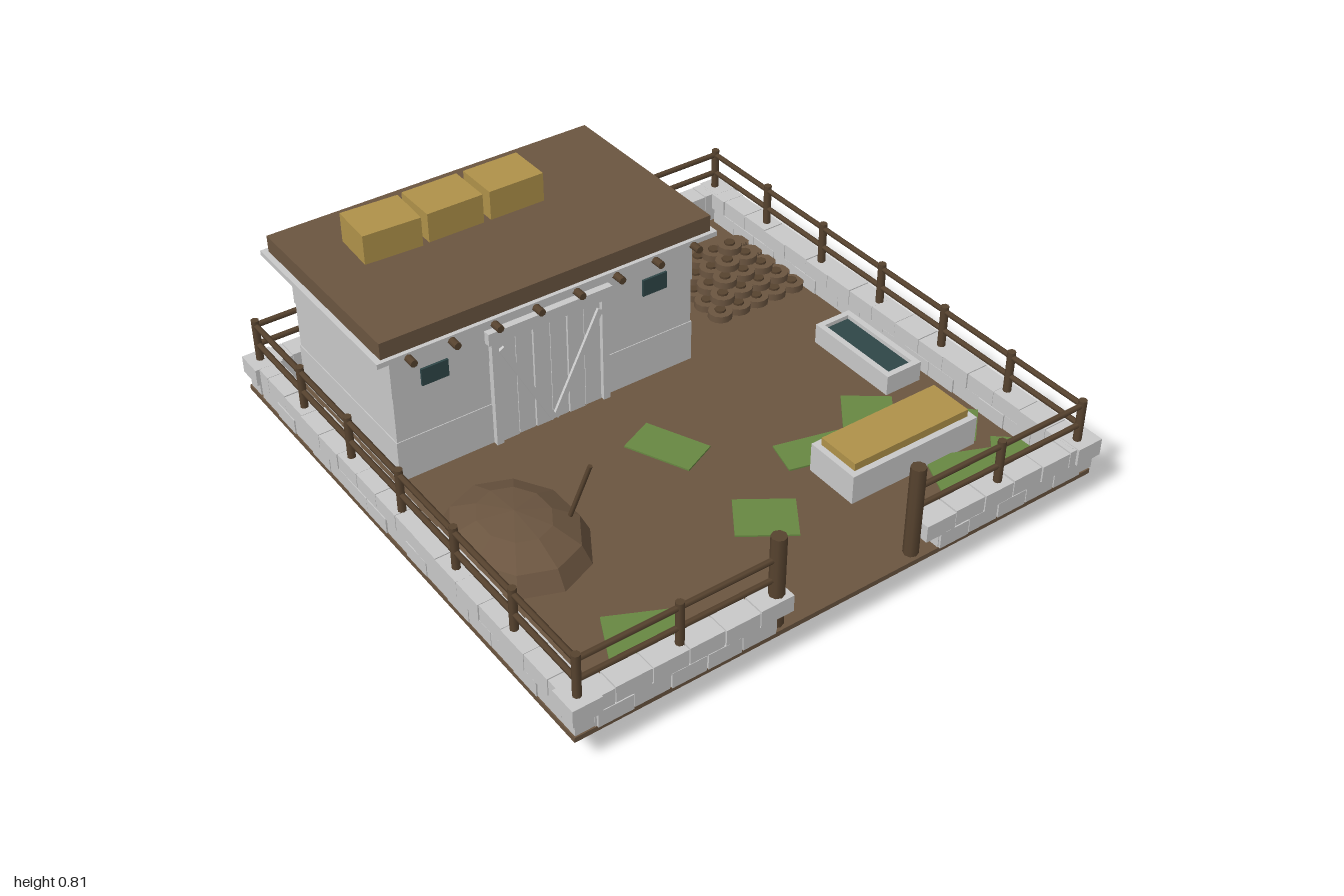
import * as THREE from 'three';

export function createModel() {
  const root = new THREE.Group();
  const mat = (name, color) => {
    const m = new THREE.MeshStandardMaterial({ color });
    m.name = name;
    return m;
  };
  const stone = mat('pale stone', 0xc9c9c9);
  const earth = mat('earth brown', 0x6b5540);
  const wood = mat('dark wood', 0x57432f);
  const hay = mat('hay', 0xb0924a);
  const glass = mat('dark teal', 0x2f4648);
  const grass = mat('grass green', 0x688842);

  let seed = 7;
  const rand = () => (seed = (seed * 16807) % 2147483647) / 2147483647;

  const group = (name) => {
    const g = new THREE.Group();
    g.name = name;
    root.add(g);
    return g;
  };
  const add = (parent, name, geo, m) => {
    const mesh = new THREE.Mesh(geo, m);
    mesh.name = name;
    parent.add(mesh);
    return mesh;
  };
  // box given by its limits on each axis
  const box = (parent, name, m, x0, x1, y0, y1, z0, z1) => {
    const mesh = add(parent, name, new THREE.BoxGeometry(x1 - x0, y1 - y0, z1 - z0), m);
    mesh.position.set((x0 + x1) / 2, (y0 + y1) / 2, (z0 + z1) / 2);
    return mesh;
  };
  // round pole between two points
  const pole = (parent, name, m, a, b, r, sides = 8) => {
    const p = new THREE.Vector3(...a), q = new THREE.Vector3(...b);
    const d = q.clone().sub(p);
    const mesh = add(parent, name, new THREE.CylinderGeometry(r, r, d.length(), sides), m);
    mesh.position.copy(p).add(q).multiplyScalar(0.5);
    mesh.quaternion.setFromUnitVectors(new THREE.Vector3(0, 1, 0), d.normalize());
    return mesh;
  };

  // ground
  box(root, 'ground', earth, -0.99, 0.975, 0.107, 0.125, -0.98, 0.98);
  const patches = [
    [-0.05, 0.11, 0.14, 0.24, 0.42], [0.32, 0.4, 0.23, 0.13, -0.25],
    [0.59, 0.35, 0.17, 0.17, -0.65], [-0.01, 0.57, 0.2, 0.17, -0.6],
    [-0.62, 0.78, 0.22, 0.21, -0.45], [0.66, 0.79, 0.27, 0.22, -0.4],
    [0.78, 0.56, 0.15, 0.16, -0.8], [0.82, 0.79, 0.13, 0.17, -0.7],
  ];
  const grassGroup = group('grassPatches');
  patches.forEach(([x, z, w, d, rot], i) => {
    const p = add(grassGroup, 'grassPatch', new THREE.BoxGeometry(w, 0.006, d), grass);
    p.position.set(x, 0.128 + i * 0.0006, z);
    p.rotation.y = rot;
  });

  // perimeter walls: recessed core with two staggered courses of blocks
  const walls = group('perimeterWalls');
  const wall = (x0, x1, z0, z1, gap) => {
    const alongX = x1 - x0 > z1 - z0;
    const [a0, a1, c0, c1] = alongX ? [x0, x1, z0, z1] : [z0, z1, x0, x1];
    const put = (name, s0, s1, y0, y1, t0, t1) => alongX
      ? box(walls, name, stone, s0, s1, y0, y1, t0, t1)
      : box(walls, name, stone, t0, t1, y0, y1, s0, s1);
    put('wallCore', a0 + 0.06, a1 - 0.06, 0.122, 0.232, c0 + 0.008, c1 - 0.008);
    const n = Math.round((a1 - a0) / 0.12), step = (a1 - a0) / n;
    for (let row = 0; row < 2; row++) {
      const start = a0 + (row ? 0 : step / 2), count = row ? n : n - 1;
      for (let i = 0; i < count; i++) {
        const s = start + i * step, j = rand() * 0.005;
        put('wallBlock', s + gap, s + step - gap, row ? 0.178 : 0.124,
          row ? 0.236 + rand() * 0.004 : 0.18, c0 + j, c1 - j);
      }
    }
  };
  wall(-0.98, -0.23, 0.9, 0.985, 0.003);
  wall(0.27, 0.99, 0.9, 0.985, 0.003);
  wall(-0.98, 0.98, -0.985, -0.9, 0.001);
  wall(-0.99, -0.905, -0.95, 0.97, 0.001);
  wall(0.89, 0.98, -0.95, 0.97, 0.001);
  for (const [x, z] of [[-0.95, -0.94], [0.95, -0.94], [-0.95, 0.94], [0.95, 0.94]]) {
    box(walls, 'cornerBlock', stone, x - 0.05, x + 0.05, 0.178, 0.24, z - 0.05, z + 0.05);
    box(walls, 'cornerBase', stone, x - 0.035, x + 0.035, 0.124, 0.178, z - 0.035, z + 0.035);
  }

  // fence: two rails and evenly spaced posts on every run
  const fence = group('fence');
  const XL = -0.955, XR = 0.935, ZB = -0.945, ZF = 0.945;
  const runs = [
    [XL, ZB, XL, ZF, 6], [XR, ZB, XR, ZF, 6], [XL, ZB, XR, ZB, 6],
    [XL, ZF, -0.27, ZF, 2], [XR, ZF, 0.25, ZF, 2],
  ];
  for (const [x0, z0, x1, z1, n] of runs) {
    for (const y of [0.3, 0.375]) pole(fence, 'rail', wood, [x0, y, z0], [x1, y, z1], 0.01, 6);
    for (let i = 0; i < n; i++) {
      const x = x0 + (x1 - x0) * i / n, z = z0 + (z1 - z0) * i / n;
      pole(fence, 'post', wood, [x, 0.125, z], [x, 0.395, z], 0.014);
    }
  }
  for (const x of [-0.27, 0.25]) pole(fence, 'gatePost', wood, [x, 0.11, ZF], [x, 0.457, ZF], 0.025);

  // building walls in three courses
  const house = group('building');
  [[0.102, 0.28, 0.003], [0.28, 0.45, 0], [0.45, 0.627, 0.003]].forEach(([y0, y1, o]) =>
    box(house, 'wallCourse', stone, -0.832 - o, 0.298 + o, y0, y1, -0.882 - o, -0.24 + o));

  // roof on protruding beams
  box(house, 'roofSlab', stone, -0.9, 0.363, 0.625, 0.643, -0.95, -0.185);
  box(house, 'roofTop', earth, -0.88, 0.345, 0.643, 0.702, -0.93, -0.2);
  for (let i = 0; i < 8; i++) {
    const x = -0.795 + i * 0.1515;
    pole(house, 'roofBeam', wood, [x, 0.625, -0.973], [x, 0.625, -0.147], 0.013);
  }
  [-0.6, -0.375, -0.145].forEach((x, i) => {
    const bale = box(house, 'hayBale', hay, x - 0.102, x + 0.102, 0.702, 0.807, -0.755, -0.592);
    bale.rotation.y = i ? 0 : -0.05;
  });

  // double door with frame and slanted braces
  box(house, 'doorHeader', stone, -0.5, -0.035, 0.525, 0.57, -0.24, -0.212);
  for (const x of [-0.475, -0.06]) box(house, 'doorJamb', stone, x - 0.013, x + 0.013, 0.125, 0.525, -0.24, -0.217);
  for (let i = 0; i < 6; i++) {
    const x = -0.46 + i * 0.0645;
    box(house, 'doorPlank', stone, x + 0.002, x + 0.0625, 0.125, 0.525, -0.24, i % 2 ? -0.23 : -0.227);
  }
  for (const s of [-1, 1]) {
    const brace = add(house, 'doorBrace', new THREE.BoxGeometry(0.022, 0.4, 0.01), stone);
    brace.position.set(-0.265 + s * 0.095, 0.315, -0.222);
    brace.rotation.z = -s * 0.48;
  }
  for (const x of [-0.685, 0.145]) box(house, 'window', glass, x - 0.048, x + 0.048, 0.465, 0.527, -0.236, -0.228);

  // log ends stacked on the side wall
  for (const y of [0.255, 0.362]) {
    for (let i = 0; i < 5; i++) {
      const z = -0.31 - i * 0.1135;
      pole(house, 'logEnd', earth, [0.27, y, z], [0.322, y, z], 0.036, 10);
    }
  }

  // stepped pile of flat rounds
  const pile = group('pile');
  for (let level = 0; level < 5; level++) {
    const n = 5 - level, y = 0.125 + level * 0.034;
    for (let i = 0; i < n; i++) for (let k = 0; k < n; k++) {
      const x = 0.692 + (i - (n - 1) / 2) * 0.08, z = -0.537 + (k - (n - 1) / 2) * 0.08;
      pole(pile, 'pileRound', earth, [x, y, z], [x, y + 0.026, z], 0.044, 12);
      pole(pile, 'pileCore', wood, [x, y, z], [x, y + 0.034, z], 0.02, 8);
    }
  }

  // troughs with raised rims
  const trough = (name, x0, x1, z0, z1, top, fill, m) => {
    const g = group(name), t = 0.022;
    box(g, 'troughSide', stone, x0, x0 + t, 0.125, top, z0, z1);
    box(g, 'troughSide', stone, x1 - t, x1, 0.125, top, z0, z1);
    box(g, 'troughEnd', stone, x0 + t, x1 - t, 0.125, top, z0, z0 + t);
    box(g, 'troughEnd', stone, x0 + t, x1 - t, 0.125, top, z1 - t, z1);
    box(g, 'troughFilling', m, x0 + t, x1 - t, 0.125, fill, z0 + t, z1 - t);
  };
  trough('waterTrough', 0.705, 0.852, -0.062, 0.312, 0.2, 0.185, glass);
  trough('hayTrough', 0.25, 0.765, 0.467, 0.672, 0.232, 0.26, hay);

  // faceted mound with a stick in it
  const moundMat = earth.clone();
  moundMat.flatShading = true;
  const mound = add(root, 'mound', new THREE.SphereGeometry(1, 10, 6, Math.PI / 2), moundMat);
  mound.scale.set(0.226, 0.125, 0.273);
  mound.position.set(-0.69, 0.125, 0.21);
  pole(root, 'stick', wood, [-0.545, 0.17, 0.275], [-0.495, 0.41, 0.335], 0.008, 6);

  return root;
}
